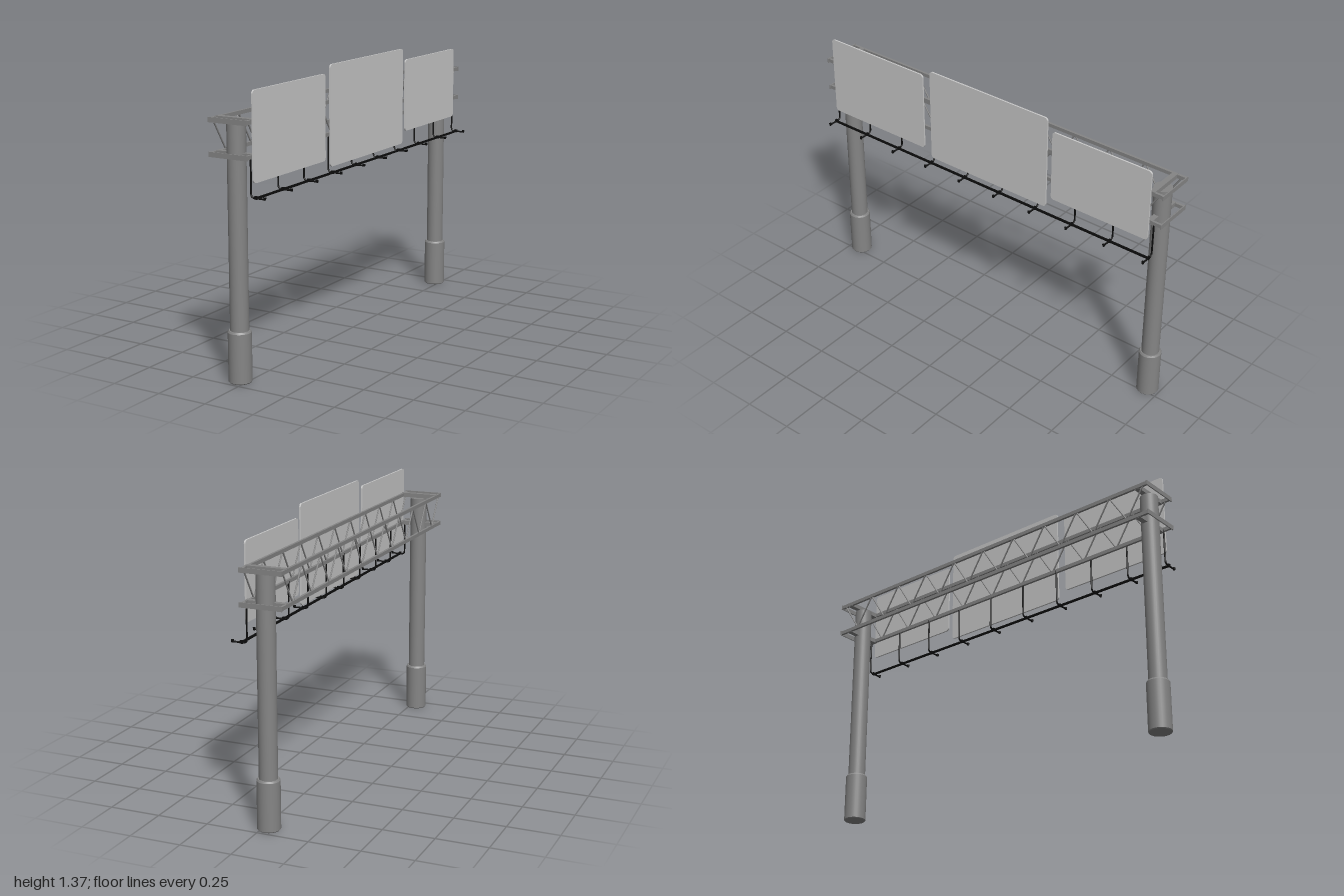
import * as THREE from 'three';

const mat = (name, color, side = THREE.FrontSide) => {
  const m = new THREE.MeshStandardMaterial({ color, side });
  m.name = name;
  return m;
};

export function createModel() {
  const steel = mat('steel grey', 0x858585);
  const panelGrey = mat('panel light grey', 0xc8c8c8);
  const black = mat('lamp black', 0x0c0c0c);

  const root = new THREE.Group();
  root.name = 'signGantry';

  const add = (name, geometry, material, x = 0, y = 0, z = 0) => {
    const mesh = new THREE.Mesh(geometry, material);
    mesh.name = name;
    mesh.position.set(x, y, z);
    root.add(mesh);
    return mesh;
  };
  const box = (name, w, h, d, material, x, y, z) =>
    add(name, new THREE.BoxGeometry(w, h, d), material, x, y, z);

  // thin round bar between two points
  const bar = (name, a, b, r, material) => {
    const dir = b.clone().sub(a);
    const mesh = add(name, new THREE.CylinderGeometry(r, r, dir.length(), 8), material);
    mesh.position.copy(a).add(b).multiplyScalar(0.5);
    mesh.quaternion.setFromUnitVectors(new THREE.Vector3(0, 1, 0), dir.normalize());
    return mesh;
  };

  const backX = -0.129, frontX = 0.056, colX = -0.031, colZ = 0.938;
  const topY = 1.192, lowY = 1.039;
  const midX = -0.0345, fullW = 0.205;

  // columns with bevelled footings, and the cross brackets at their heads
  for (const s of [-1, 1]) {
    const z = s * colZ;
    add('column', new THREE.CylinderGeometry(0.043, 0.043, 0.95, 32), steel, colX, 0.705, z);
    const profile = [[0, 0], [0.051, 0], [0.054, 0.004], [0.054, 0.234], [0.049, 0.242], [0.04, 0.242]];
    // doubled points keep the profile edges sharp
    for (let i = 0; i < profile.length - 1; i++) {
      const pts = [profile[i], profile[i + 1]].map(p => new THREE.Vector2(...p));
      add('columnFooting', new THREE.LatheGeometry(pts, 32), steel, colX, 0, z);
    }
    for (const y of [topY, lowY]) {
      box('columnBracket', fullW - 0.012, 0.022, 0.026, steel, midX, y, z);
      box('trussEndBeam', fullW, 0.023, 0.005, steel, midX, y, s * 0.9975);
    }
  }

  // truss chords and zigzag lacing on both long faces
  const bays = 20, half = 0.975;
  for (const x of [backX, frontX]) {
    for (const y of [topY, lowY]) box('trussChord', 0.012, 0.018, 1.992, steel, x, y, 0);
    for (let i = 0; i < bays; i++) {
      const z0 = half - (2 * half * i) / bays, z1 = half - (2 * half * (i + 1)) / bays;
      const down = i % 2 === 0;
      bar('trussLacing',
        new THREE.Vector3(x, down ? topY : lowY, z0),
        new THREE.Vector3(x, down ? lowY : topY, z1), 0.0038, steel);
    }
  }

  // rounded sign panels: z range, y range
  const panels = [[0.367, 0.956, 0.922, 1.33], [-0.373, 0.322, 0.885, 1.367], [-0.936, -0.402, 0.944, 1.308]];
  for (const [z0, z1, y0, y1] of panels) {
    const w = (z1 - z0) / 2, h = (y1 - y0) / 2, r = 0.016;
    const shape = new THREE.Shape();
    shape.absarc(w - r, h - r, r, 0, Math.PI / 2);
    shape.absarc(r - w, h - r, r, Math.PI / 2, Math.PI);
    shape.absarc(r - w, r - h, r, Math.PI, Math.PI * 1.5);
    shape.absarc(w - r, r - h, r, Math.PI * 1.5, Math.PI * 2);
    const geo = new THREE.ExtrudeGeometry(shape, { depth: 0.008, bevelEnabled: false, curveSegments: 6 });
    geo.rotateY(Math.PI / 2);
    add('signPanel', geo, panelGrey, 0.0625, (y0 + y1) / 2, (z0 + z1) / 2);
  }

  // lighting rail, bent hangers and small lamps
  box('lampRail', 0.009, 0.009, 1.92, black, 0.08, 0.859, 0);
  const path = new THREE.CurvePath();
  const v = (x, y) => new THREE.Vector3(x, y, 0);
  path.add(new THREE.LineCurve3(v(0.054, 1.04), v(0.054, 0.877)));
  path.add(new THREE.QuadraticBezierCurve3(v(0.054, 0.877), v(0.054, 0.859), v(0.072, 0.859)));
  path.add(new THREE.LineCurve3(v(0.072, 0.859), v(0.127, 0.859)));
  const hangerGeo = new THREE.TubeGeometry(path, 40, 0.0042, 8);
  const lampGeo = new THREE.CylinderGeometry(0.007, 0.005, 0.012, 12);
  for (let i = 0; i < 10; i++) {
    const z = -0.955 + (i * 1.91) / 9;
    add('lampHanger', hangerGeo, black, 0, 0, z);
    add('lamp', lampGeo, black, 0.125, 0.861, z);
    box('railClamp', 0.014, 0.014, 0.01, black, 0.08, 0.861, z);
  }

  return root;
}
